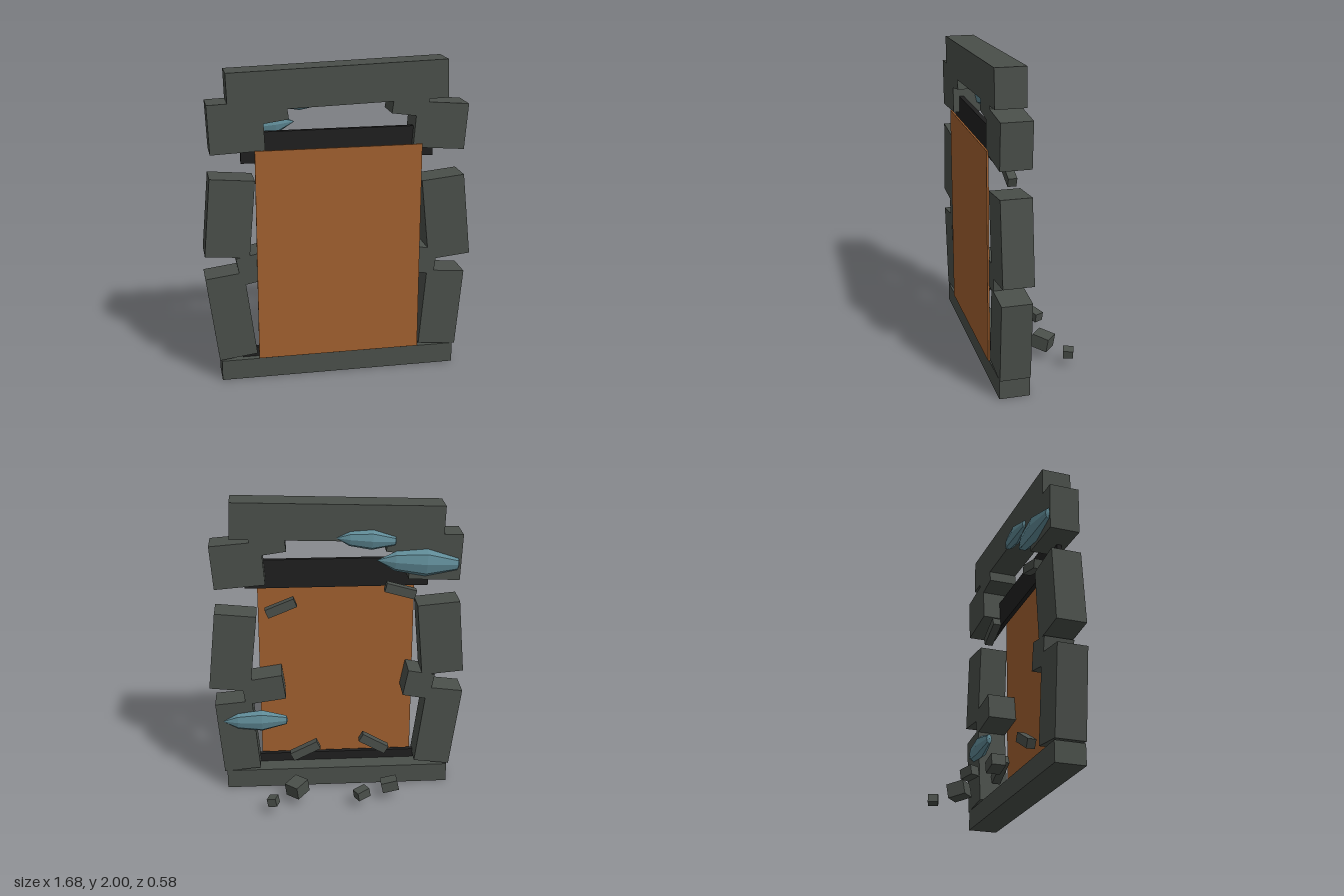
import * as THREE from 'three';

const mat = (name, color) => {
  const m = new THREE.MeshStandardMaterial({ color });
  m.name = name;
  return m;
};

export function createModel() {
  const root = new THREE.Group();
  root.name = 'ruinedStoneFrame';

  const stone = mat('dark stone', 0x4a4f4a);
  const panelColor = mat('rust orange', 0xa0602f);
  const barColor = mat('black iron', 0x1f1f1f);
  const crystalColor = mat('pale teal', 0x5f8a96);

  const rad = THREE.MathUtils.degToRad;
  const box = (name, material, size, pos, rot = [0, 0, 0]) => {
    const mesh = new THREE.Mesh(new THREE.BoxGeometry(...size), material);
    mesh.name = name;
    mesh.position.set(...pos);
    mesh.rotation.set(...rot.map(rad));
    root.add(mesh);
    return mesh;
  };

  // Frame stones: name, centre x, centre y, width, height, tilt in degrees
  [
    ['baseStone', -0.003, 0.065, 1.505, 0.13, 0],
    ['lowerRightStone', -0.685, 0.427, 0.24, 0.555, 7.5],
    ['lowerLeftStone', 0.665, 0.39, 0.245, 0.505, -5],
    ['middleRightStone', -0.545, 0.738, 0.18, 0.18, 11],
    ['middleLeftStone', 0.485, 0.73, 0.27, 0.17, -8],
    ['upperRightStone', -0.68, 1.067, 0.275, 0.49, -5],
    ['upperLeftStone', 0.68, 1.0, 0.27, 0.525, 6],
    ['topRightStone', -0.627, 1.627, 0.33, 0.3, 2.5],
    ['topLeftStone', 0.628, 1.593, 0.325, 0.285, -4.5],
    ['innerRightStone', -0.43, 1.728, 0.22, 0.15, 8],
    ['innerLeftStone', 0.435, 1.725, 0.22, 0.12, -8],
    ['lintelStone', -0.005, 1.86, 1.346, 0.235, 1.9],
  ].forEach(([name, x, y, w, h, tilt]) =>
    box(name, stone, [w, h, 0.19], [x, y, 0.185], [0, 0, tilt]));

  // Front panel and the bars behind it
  box('frontPanel', panelColor, [1.03, 1.35, 0.012], [-0.005, 0.81, 0.284]);
  box('topBar', barColor, [1.19, 0.19, 0.03], [-0.005, 1.495, 0.225]);
  box('bottomBar', barColor, [1.23, 0.12, 0.03], [-0.005, 0.13, 0.225]);

  // Splinters near the panel corners: x, y, tilt
  [
    [0.36, 1.3, -22],
    [-0.41, 1.4, 16],
    [0.215, 0.26, -26],
    [-0.25, 0.3, 30],
  ].forEach(([x, y, tilt]) =>
    box('stoneSplinter', stone, [0.2, 0.06, 0.055], [x, y, 0.12], [0, 0, tilt]));

  // Loose rubble: size, position, rotation
  [
    [[0.11, 0.07, 0.085], [-0.34, 0.1, -0.104], [0, 0, -12]],
    [[0.09, 0.06, 0.065], [-0.145, 0.095, -0.198], [0, 28, -10]],
    [[0.115, 0.09, 0.105], [0.28, 0.115, -0.13], [0, 48, -10]],
    [[0.06, 0.055, 0.065], [0.44, 0.09, -0.252], [0, -18, -12]],
  ].forEach(([size, pos, rot]) => box('rubble', stone, size, pos, rot));

  // Faceted crystals on the back, long axis along x, flattened in z
  const profile = [[0, -1], [0.42, -0.96], [1, -0.2], [0.72, 0.55], [0, 1]]
    .map(([r, a]) => new THREE.Vector2(r, a));
  const crystalGeo = new THREE.LatheGeometry(profile, 8).toNonIndexed();
  crystalGeo.rotateZ(-Math.PI / 2);
  crystalGeo.computeVertexNormals();

  // x, y, half length, half height, depth, tilt
  [
    [-0.515, 1.595, 0.265, 0.09, 0.053, 4],
    [-0.185, 1.75, 0.19, 0.065, 0.043, 4],
    [0.545, 0.507, 0.215, 0.076, 0.043, 0],
  ].forEach(([x, y, l, h, d, tilt]) => {
    const crystal = new THREE.Mesh(crystalGeo, crystalColor);
    crystal.name = 'crystal';
    crystal.position.set(x, y, 0.09);
    crystal.scale.set(l, h, d);
    crystal.rotation.z = rad(tilt);
    root.add(crystal);
  });

  return root;
}
